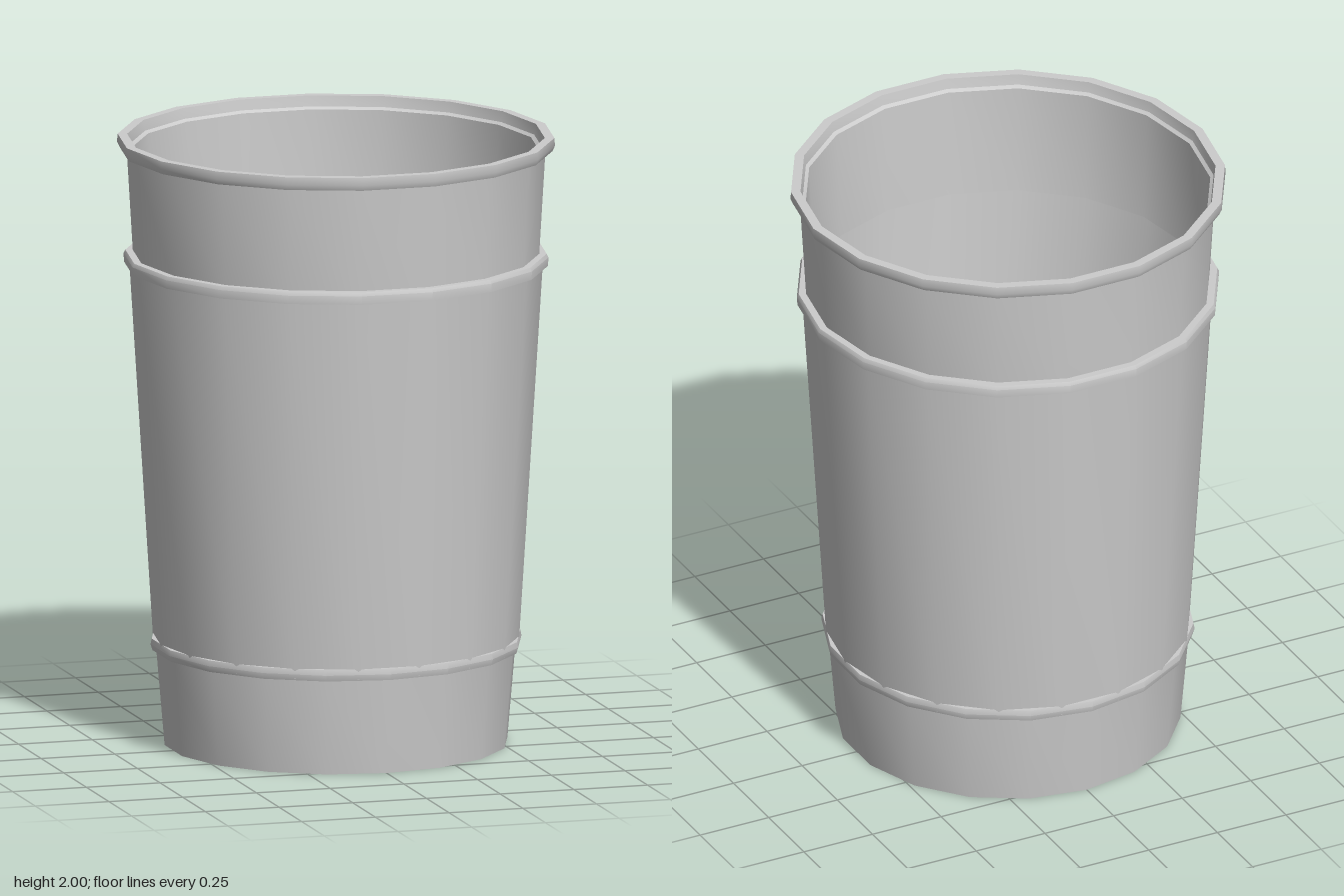
import * as THREE from 'three';
import { toCreasedNormals } from 'three/addons/utils/BufferGeometryUtils.js';

const SIDES = 18;
const material = new THREE.MeshStandardMaterial({ color: 0xcccccc, side: THREE.DoubleSide });

// Revolve a [radius, y] profile: smooth around, sharp along the profile
function turned(name, profile, turn = 0) {
  const points = profile.map(([r, y]) => new THREE.Vector2(r, y));
  const geometry = new THREE.LatheGeometry(points, SIDES, turn);
  const mesh = new THREE.Mesh(toCreasedNormals(geometry, 0.6), material);
  mesh.name = name;
  return mesh;
}

export function createModel() {
  const group = new THREE.Group();
  group.name = 'cup';
  const halfStep = Math.PI / SIDES;

  // Base section with floor and lower ring, its corners offset by half a side
  group.add(turned('base', [
    [0, 0], [0.56, 0], [0.587, 0.315],
    [0.6, 0.315], [0.606, 0.335], [0.602, 0.353],
    [0.585, 0.353], [0.568, 0.315], [0.545, 0.02], [0, 0.02],
  ]));

  // Tapered middle wall, seated in the base and ending in the upper ring
  group.add(turned('middleWall', [
    [0.593, 0.32], [0.671, 1.577],
    [0.688, 1.577], [0.69, 1.605], [0.684, 1.617], [0.66, 1.617],
  ], halfStep));

  // Upper wall with the drinking rim
  group.add(turned('upperWall', [
    [0.658, 1.585], [0.68, 1.957],
    [0.703, 1.957], [0.711, 1.975], [0.709, 2],
    [0.678, 2], [0.672, 1.965], [0.661, 1.957], [0.645, 1.585], [0.658, 1.585],
  ], halfStep));

  return group;
}
